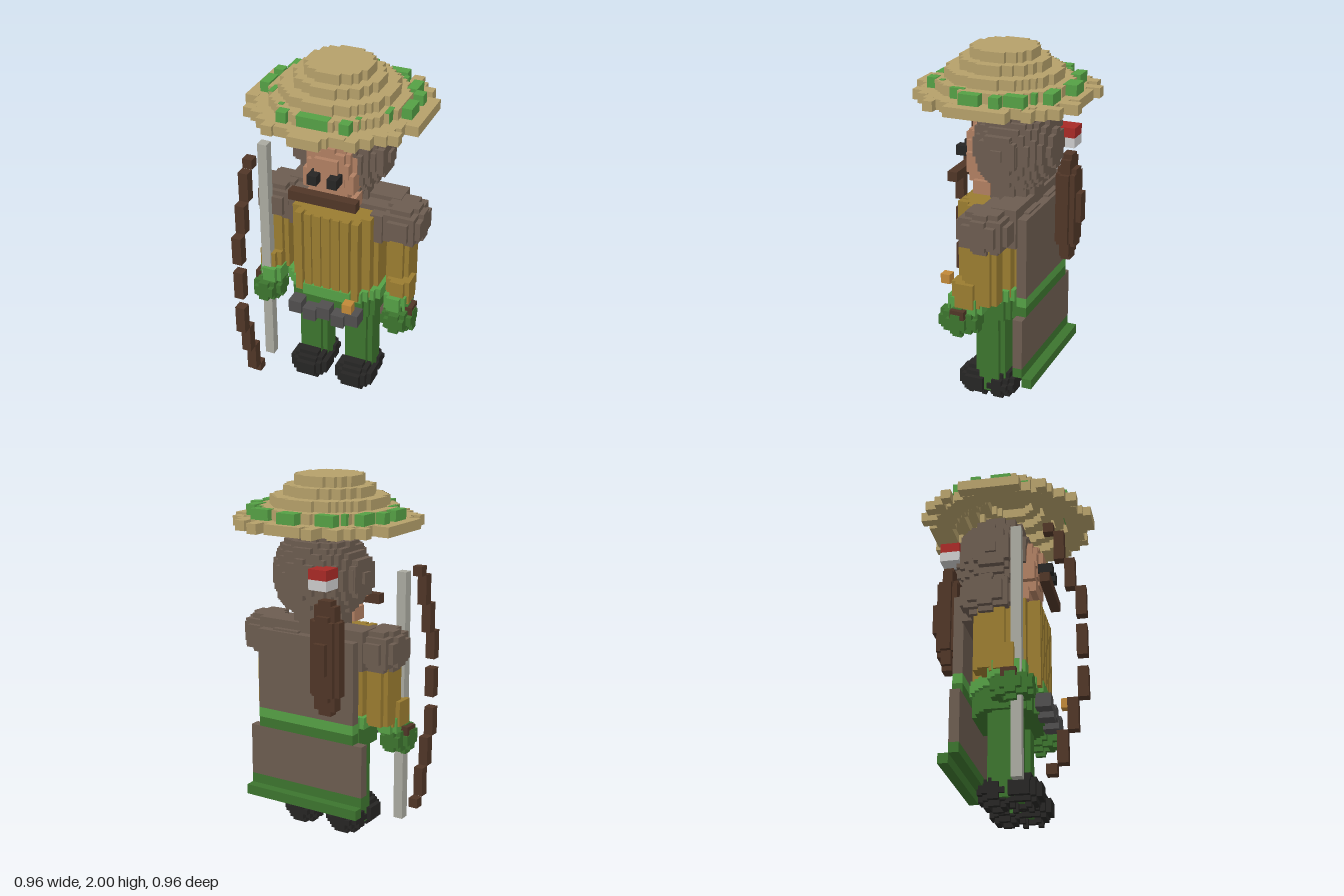
import * as THREE from 'three';

const U = 0.055, F = 0.0275; // coarse and fine block sizes
const C = {
  straw: 0xb5a06a, leaf: 0x55a045, green: 0x3c742e, brown: 0x6c5c50, yellow: 0x9a7c30, skin: 0xb07f62,
  wood: 0x503627, black: 0x262524, grey: 0x504e4e, cord: 0xaaaaa0, brass: 0xc08838, red: 0xa82a26, white: 0xd8d8d4,
};
const mats = {};
const mat = (c) => (mats[c] ??= new THREE.MeshStandardMaterial({ color: C[c], flatShading: true }));

// Six face directions
const FACES = [];
for (let a = 0; a < 3; a++) for (const s of [1, -1]) FACES.push({ a, s });

// Blocky solid: keeps cells whose centre passes inside(x,y,z), drawing exposed faces only
function blockGeometry(half, inside) {
  const n = half.map((h) => Math.max(1, Math.round((2 * h) / F)));
  const step = half.map((h, i) => (2 * h) / n[i]);
  const at = (c) => c.every((v, i) => v >= 0 && v < n[i]) &&
    inside(...c.map((v, i) => -half[i] + (v + 0.5) * step[i]));
  const pos = [];
  for (let i = 0; i < n[0]; i++) for (let j = 0; j < n[1]; j++) for (let k = 0; k < n[2]; k++) {
    const c = [i, j, k];
    if (!at(c)) continue;
    for (const { a, s } of FACES) {
      const next = [...c];
      next[a] += s;
      if (at(next)) continue;
      const b = (a + 1) % 3, d = (a + 2) % 3;
      const corner = (p, q) => {
        const v = [...c];
        v[a] += s > 0 ? 1 : 0; v[b] += p; v[d] += q;
        return v.map((w, m) => -half[m] + w * step[m]);
      };
      const q = [corner(0, 0), corner(1, 0), corner(1, 1), corner(0, 1)];
      if (s < 0) q.reverse();
      for (const m of [0, 1, 2, 0, 2, 3]) pos.push(...q[m]);
    }
  }
  const g = new THREE.BufferGeometry();
  g.setAttribute('position', new THREE.Float32BufferAttribute(pos, 3));
  g.computeVertexNormals();
  return g;
}

export function createModel() {
  const root = new THREE.Group();
  root.name = 'archer';

  const add = (name, color, geo, x = 0, y = 0, z = 0) => {
    const m = new THREE.Mesh(geo, mat(color));
    m.name = name;
    m.position.set(x, y, z);
    root.add(m);
  };
  // Box from min/max pairs
  const box = (name, color, x0, x1, y0, y1, z0, z1) =>
    add(name, color, new THREE.BoxGeometry(x1 - x0, y1 - y0, z1 - z0), (x0 + x1) / 2, (y0 + y1) / 2, (z0 + z1) / 2);
  // Rounded blocky blob; a higher power p is boxier, open leaves the underside hollow
  const blob = (name, color, x, y, z, rx, ry, rz, p = 2, open = false) =>
    add(name, color, blockGeometry([rx, ry, rz], (a, b, c) => {
      const d = Math.abs(a / rx) ** p + Math.abs(b / ry) ** p + Math.abs(c / rz) ** p;
      return d < 1 && !(open && b < 0 && Math.hypot(a / rx, c / rz) < 0.5);
    }), x, y, z);
  // Upright blocky column
  const column = (name, color, x, y0, y1, z, rx, rz, p = 2) =>
    add(name, color, blockGeometry([rx, (y1 - y0) / 2, rz], (a, b, c) =>
      Math.abs(a / rx) ** p + Math.abs(c / rz) ** p < 1), x, (y0 + y1) / 2, z);
  // Flat ring of blocks
  const ring = (name, color, y0, y1, rOut, rIn) =>
    add(name, color, blockGeometry([rOut, (y1 - y0) / 2, rOut], (a, b, c) => {
      const r = Math.hypot(a, c);
      return r < rOut && r >= rIn;
    }), 0, (y0 + y1) / 2, 0);

  // Hat: stepped hollow rings from the crown down to the brim
  ring('hatCrown', 'straw', 1.945, 2, 0.175, 0);
  ring('hatStep', 'straw', 1.89, 1.945, 0.235, 0.13);
  ring('hatStep', 'straw', 1.835, 1.89, 0.305, 0.19);
  ring('hatStep', 'straw', 1.78, 1.835, 0.36, 0.26);
  ring('hatBrim', 'straw', 1.725, 1.78, 0.435, 0.32);
  for (const s of [-1, 1]) {
    box('brimSide', 'straw', s * 0.445 - 0.035, s * 0.445 + 0.035, 1.725, 1.78, -0.2, 0.14);
    // Ragged straw ends
    for (const [x, z, d] of [[0.17, -0.43, 0.1], [0.285, -0.375, 0.1], [0.385, -0.285, U], [0.325, -0.335, U],
      [0.395, 0.25, U], [0.34, 0.275, U], [0.225, 0.375, 0.09], [0.28, 0.335, U]])
      box('brimTuft', 'straw', s * x - 0.03, s * x + 0.03, 1.725, 1.78, z - d / 2, z + d / 2);
    // Leaves tucked into the band
    for (const [x, z, w, d] of [[0.395, -0.115, U, U], [0.395, 0.025, U, 0.11], [0.34, -0.2, U, 0.11], [0.2, -0.34, 0.11, U],
      [0.32, 0.125, F, 0.08], [0.17, 0.335, U, U], [0.21, 0.265, F, F], [0.265, -0.27, F, F]])
      box('hatLeaf', 'leaf', s * x - w / 2, s * x + w / 2, 1.775, 1.838, z - d / 2, z + d / 2);
  }
  box('brimFront', 'straw', -0.17, 0.17, 1.725, 1.78, 0.33, 0.395);
  box('brimFrontTip', 'straw', -0.085, 0.085, 1.725, 1.78, 0.395, 0.48);
  box('brimBack', 'straw', -0.11, 0.11, 1.725, 1.78, -0.455, -0.35);
  box('hatLeafFront', 'leaf', -0.085, 0.085, 1.775, 1.838, 0.31, 0.365);
  box('hatLeafBack', 'leaf', -0.055, 0.055, 1.775, 1.838, -0.42, -0.345);

  // Head with hair, ears and face
  blob('hair', 'brown', 0, 1.475, -0.08, 0.25, 0.245, 0.225, 2.2);
  column('hairTop', 'brown', 0, 1.64, 1.73, -0.06, 0.14, 0.14);
  for (const s of [-1, 1]) {
    blob('earPad', 'brown', s * 0.235, 1.475, -0.06, 0.025, 0.1, 0.1, 3);
    box('earKnob', 'brown', s * 0.262 - 0.014, s * 0.262 + 0.014, 1.445, 1.505, -0.09, -0.03);
    box('eye', 'black', s * 0.057 - 0.0275, s * 0.057 + 0.0275, 1.385, 1.44, 0.17, 0.255);
    box('cheek', 'skin', s * 0.115 - 0.03, s * 0.115 + 0.03, 1.32, 1.43, 0.06, 0.165);
  }
  blob('face', 'skin', 0, 1.45, 0.05, 0.145, 0.15, 0.15, 2.4);
  box('moustache', 'wood', -0.193, 0.193, 1.27, 1.325, 0.2, 0.255);
  box('chin', 'skin', -0.14, 0.14, 1.2, 1.275, 0.03, 0.13);
  box('jaw', 'skin', -0.11, 0.11, 1.26, 1.35, 0.03, 0.165);
  column('neck', 'brown', 0, 1.16, 1.3, -0.07, 0.15, 0.13);

  // Torso with pleats, mantle
  column('tunic', 'yellow', 0, 0.66, 1.16, 0, 0.255, 0.185, 2.4);
  for (let i = -3; i <= 3; i++) box('tunicPleat', 'yellow', i * U - 0.02, i * U + 0.02, 0.66, 1.16, 0.14, 0.2);
  box('mantle', 'brown', -0.33, 0.33, 1.0, 1.215, -0.2, -0.06);
  box('mantleTop', 'brown', -0.3, 0.3, 1.1, 1.19, -0.17, 0.02);
  for (const s of [-1, 1]) {
    box('shoulderBlade', 'brown', s * 0.14 - 0.08, s * 0.14 + 0.08, 1.05, 1.17, -0.23, -0.18);
    box('shoulderYoke', 'brown', s * 0.24 - 0.035, s * 0.24 + 0.035, 1.0, 1.17, -0.1, 0.08);
  }
  column('beltSkirt', 'green', 0, 0.52, 0.65, 0, 0.25, 0.18, 3);
  column('belt', 'leaf', 0, 0.64, 0.705, 0, 0.28, 0.205, 2.5);
  for (let i = -2; i <= 2; i++) {
    const x = i * 0.085, y = i % 2 ? 0.5 : 0.53;
    box('beltPouch', 'grey', x - 0.038, x + 0.038, y, y + 0.075, 0.17, 0.255);
  }
  box('buckle', 'brass', 0.138, 0.193, 0.655, 0.71, 0.255, 0.31);

  // Arms, legs and shoes, mirrored
  for (const s of [-1, 1]) {
    blob('shoulder', 'brown', s * 0.365, 1.1, -0.045, 0.115, 0.11, 0.145, 2.8);
    column('sleeve', 'yellow', s * 0.36, 0.68, 1.03, -0.02, 0.065, 0.1, 2.4);
    column('forearm', 'yellow', s * 0.385, 0.66, 0.8, 0.05, 0.065, 0.08, 2.4);
    column('cuff', 'leaf', s * 0.375, 0.62, 0.71, 0.06, 0.062, 0.1, 3);
    blob('hand', 'green', s * 0.395, 0.57, 0.09, 0.085, 0.085, 0.11, 2.2, true);
    box('wristStrap', 'wood', s * 0.45 - 0.027, s * 0.45 + 0.027, 0.6, 0.65, 0.04, 0.12);
    column('leg', 'green', s * 0.14, 0.05, 0.56, 0.005, 0.085, 0.088, 3.5);
    blob('shoeToe', 'black', s * 0.14, 0.09, 0.09, 0.112, 0.09, 0.11, 2.1, true);
    blob('shoeHeel', 'black', s * 0.14, 0.085, -0.045, 0.1, 0.075, 0.088, 2.1, true);
  }

  // Cape with green bands
  box('capeUpper', 'brown', -0.305, 0.305, 0.71, 1.16, -0.25, -0.195);
  box('capeBand', 'leaf', -0.305, 0.305, 0.655, 0.71, -0.25, -0.195);
  box('capeBandLower', 'green', -0.305, 0.305, 0.6, 0.655, -0.25, -0.195);
  box('capeLower', 'brown', -0.36, 0.36, 0.31, 0.6, -0.25, -0.195);
  box('capeTrim', 'green', -0.36, 0.36, 0.255, 0.31, -0.25, -0.195);
  box('capeHem', 'green', -0.36, 0.36, 0.2, 0.255, -0.305, -0.25);

  // Quiver and arrow fletching on the back
  blob('quiver', 'wood', -0.18, 1.08, -0.305, 0.09, 0.31, 0.055, 2.6);
  box('quiverPocket', 'wood', -0.215, -0.145, 1.0, 1.17, -0.39, -0.34);
  box('fletchingRed', 'red', -0.21, -0.1, 1.5, 1.555, -0.36, -0.25);
  box('fletchingWhite', 'white', -0.21, -0.1, 1.445, 1.5, -0.36, -0.25);

  // Bow: stepped limbs mirrored about the grip, with a straight string
  for (const s of [-1, 1])
    for (const [z, a, b] of [[0.453, 0.145, 0.31], [0.398, 0.31, 0.48], [0.343, 0.48, 0.65], [0.287, 0.65, 0.705]])
      box('bowLimb', 'wood', -0.425, -0.37, 0.79 + Math.min(s * a, s * b), 0.79 + Math.max(s * a, s * b), z - 0.0275, z + 0.0275);
  box('bowGrip', 'wood', -0.425, -0.37, 0.71, 0.88, 0.425, 0.48);
  box('bowString', 'cord', -0.425, -0.37, 0.085, 1.495, 0.085, 0.14);

  return root;
}
